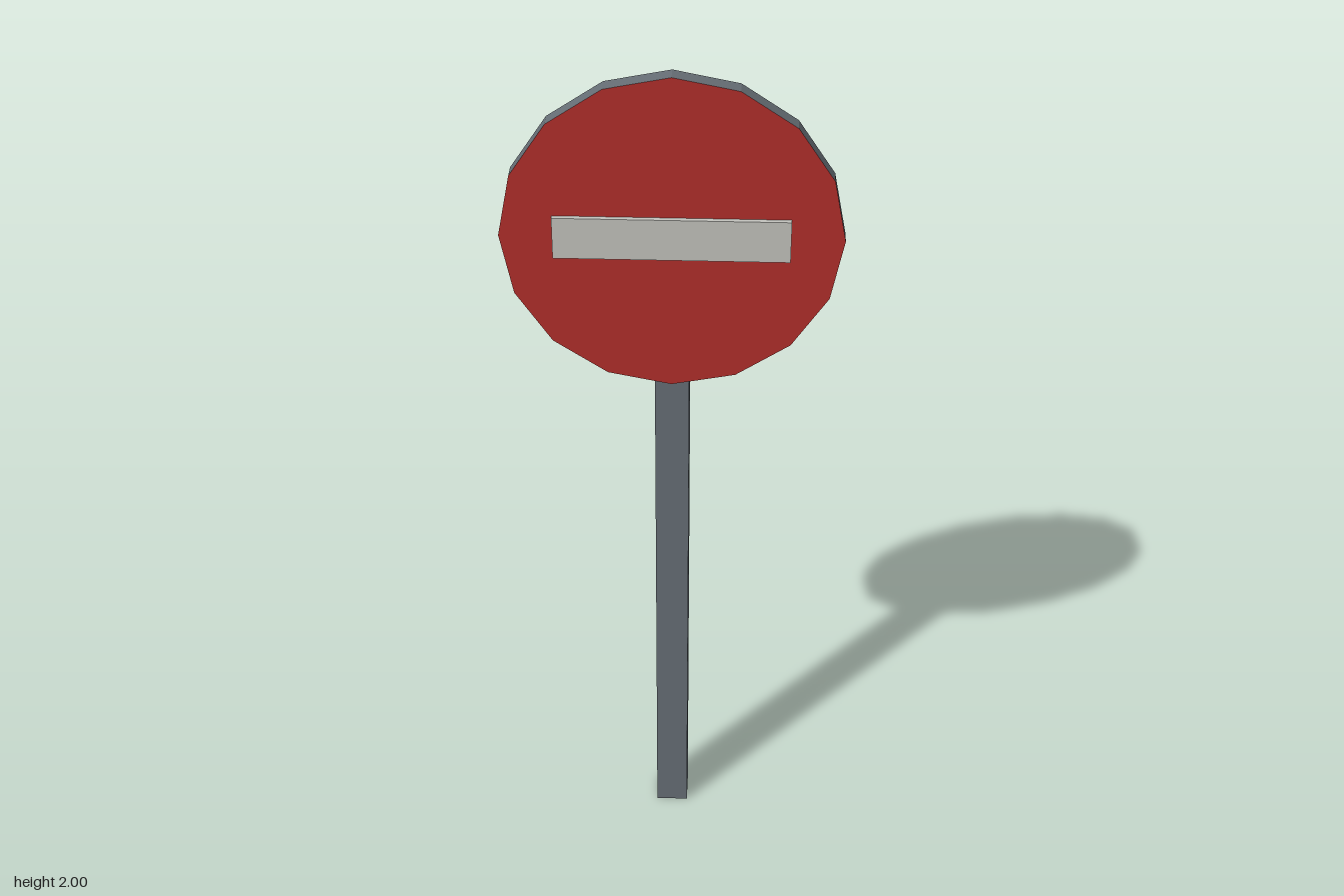
import * as THREE from 'three';

const paint = (color) => new THREE.MeshStandardMaterial({ color, flatShading: true });

export function createModel() {
  const model = new THREE.Group();
  const steel = paint(0x666e75);
  const red = paint(0xb02e2b);
  const white = paint(0xc2c2bc);

  const add = (name, geometry, material, x, y, z) => {
    const mesh = new THREE.Mesh(geometry, material);
    mesh.name = name;
    mesh.position.set(x, y, z);
    model.add(mesh);
  };

  // Square post, ending just above the lower rim of the disc
  add('post', new THREE.BoxGeometry(0.075, 1.286, 0.075), steel, 0, 0.643, -0.02);

  // Sixteen-sided disc: steel rim and back, red front
  const disc = new THREE.CylinderGeometry(0.36, 0.36, 0.038, 16).rotateX(Math.PI / 2);
  add('signDisc', disc, [steel, red, steel], 0, 1.64, 0.026);

  // Raised pale bar across the front
  add('signBar', new THREE.BoxGeometry(0.495, 0.094, 0.015), white, 0, 1.641, 0.0485);

  return model;
}
